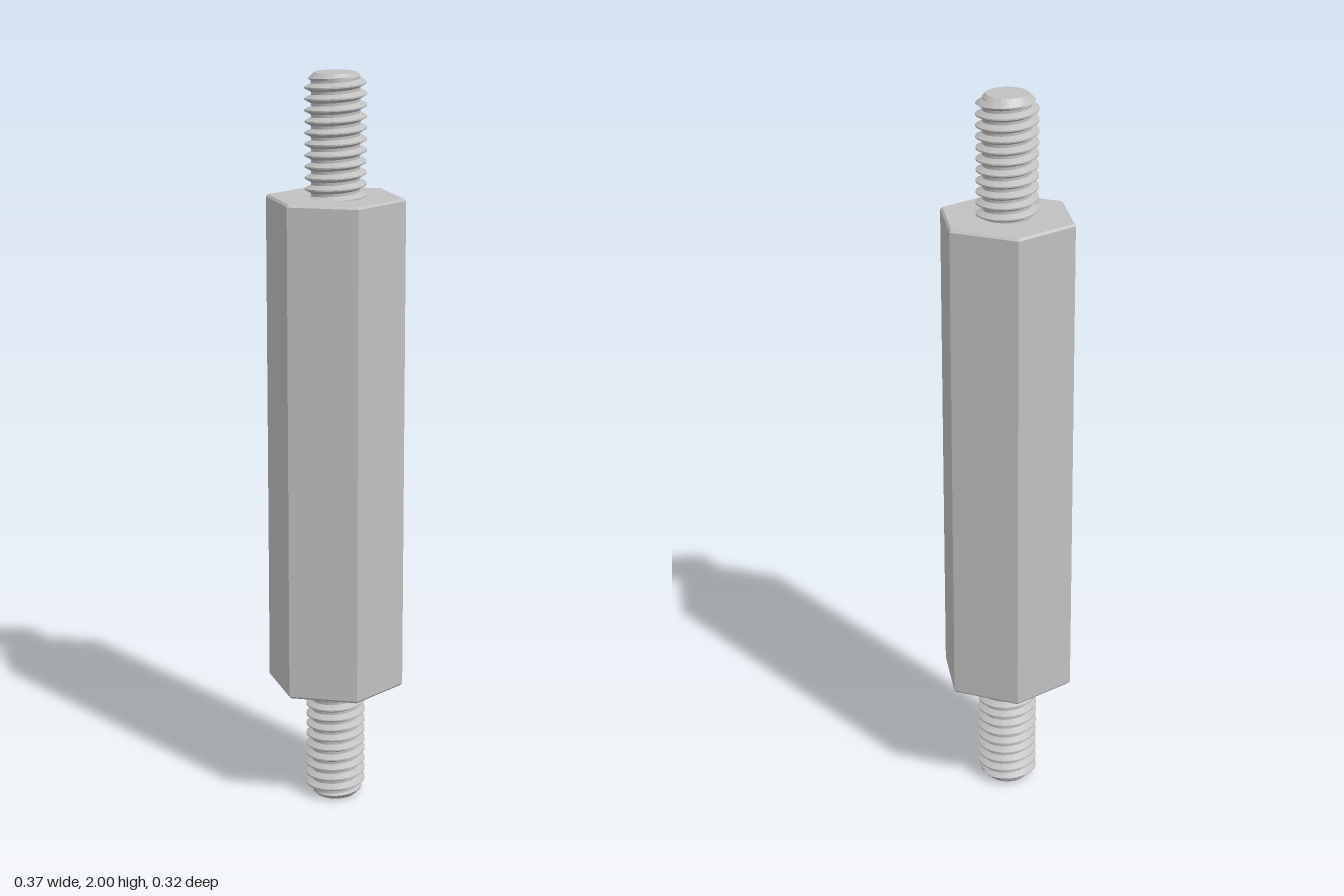
import * as THREE from 'three';
import { toCreasedNormals } from 'three/addons/utils/BufferGeometryUtils.js';

const steel = new THREE.MeshStandardMaterial({ color: 0xc0c0c0 });
steel.name = 'steel grey';

const CREST = 0.081, ROOT = 0.064, TIP = 0.055, PITCH = 0.0292;
const BODY_LOW = 0.33, BODY_HIGH = 1.677;
const EMBED = 0.01;

// Thread radius at a phase (0..1) of the pitch: narrow root, flank, crest, flank
function threadRadius(f) {
  const d = Math.abs(f - 0.5) * 2; // 0 at the crest, 1 at the root
  return THREE.MathUtils.lerp(CREST, ROOT, THREE.MathUtils.clamp((d - 0.125) / 0.625, 0, 1));
}

// Right-handed helical thread between two heights, chamfered towards the tip
function threadGeometry(low, high, tipY) {
  const phases = [0, 0.125, 0.28, 0.4375, 0.5625, 0.72, 0.875];
  const segments = 64;
  const turns = Math.ceil((high - low) / PITCH) + 2;
  const rows = turns * phases.length;
  const positions = [], index = [], heights = [];
  for (let r = 0; r < rows; r++) {
    const f = phases[r % phases.length];
    const turn = Math.floor(r / phases.length) - 1;
    for (let s = 0; s <= segments; s++) {
      const t = (s / segments) * Math.PI * 2;
      const y = THREE.MathUtils.clamp(low + (turn + f + s / segments) * PITCH, low, high);
      const radius = Math.min(threadRadius(f), TIP + Math.abs(tipY - y));
      positions.push(radius * Math.cos(t), y, -radius * Math.sin(t));
      heights.push(y);
    }
  }
  const addFace = (a, b, c) => {
    const collapsed = heights[a] === heights[b] && heights[b] === heights[c];
    if (!collapsed) index.push(a, b, c);
  };
  for (let r = 0; r < rows - 1; r++) {
    for (let s = 0; s < segments; s++) {
      const a = r * (segments + 1) + s, d = a + segments + 1;
      addFace(a, a + 1, d + 1);
      addFace(a, d + 1, d);
    }
  }
  const geometry = new THREE.BufferGeometry();
  geometry.setAttribute('position', new THREE.Float32BufferAttribute(positions, 3));
  geometry.setIndex(index);
  return toCreasedNormals(geometry, 0.5);
}

function makeStud(name, low, high, tipY) {
  const stud = new THREE.Group();
  stud.name = name;
  const thread = new THREE.Mesh(threadGeometry(low, high, tipY), steel);
  thread.name = 'thread';
  const tip = new THREE.Mesh(new THREE.CircleGeometry(TIP, 64), steel);
  tip.name = 'tipFace';
  tip.rotation.x = tipY === high ? -Math.PI / 2 : Math.PI / 2;
  tip.position.y = tipY;
  stud.add(thread, tip);
  return stud;
}

// Hexagonal body with a fine bevel at both ends
function makeBody() {
  const R = 0.187, bevel = 0.006;
  const body = new THREE.Group();
  body.name = 'hexBody';
  const hexPrism = (name, top, bottom, low, high, open) => {
    const geometry = new THREE.CylinderGeometry(top, bottom, high - low, 6, 1, open, Math.PI / 6);
    const mesh = new THREE.Mesh(toCreasedNormals(geometry, 0.3), steel);
    mesh.name = name;
    mesh.position.y = (low + high) / 2;
    body.add(mesh);
  };
  const endCap = (name, y, up) => {
    const mesh = new THREE.Mesh(new THREE.CircleGeometry(R - bevel, 6), steel);
    mesh.name = name;
    mesh.rotation.x = up ? -Math.PI / 2 : Math.PI / 2;
    mesh.position.y = y;
    body.add(mesh);
  };
  hexPrism('hexSides', R, R, BODY_LOW + bevel, BODY_HIGH - bevel, true);
  hexPrism('topBevel', R - bevel, R, BODY_HIGH - bevel, BODY_HIGH, true);
  hexPrism('bottomBevel', R, R - bevel, BODY_LOW, BODY_LOW + bevel, true);
  endCap('topFace', BODY_HIGH, true);
  endCap('bottomFace', BODY_LOW, false);
  return body;
}

export function createModel() {
  const model = new THREE.Group();
  model.name = 'hexStandoff';
  model.add(
    makeBody(),
    makeStud('topStud', BODY_HIGH - EMBED, 2, 2),
    makeStud('bottomStud', 0, BODY_LOW + EMBED, 0),
  );
  return model;
}
